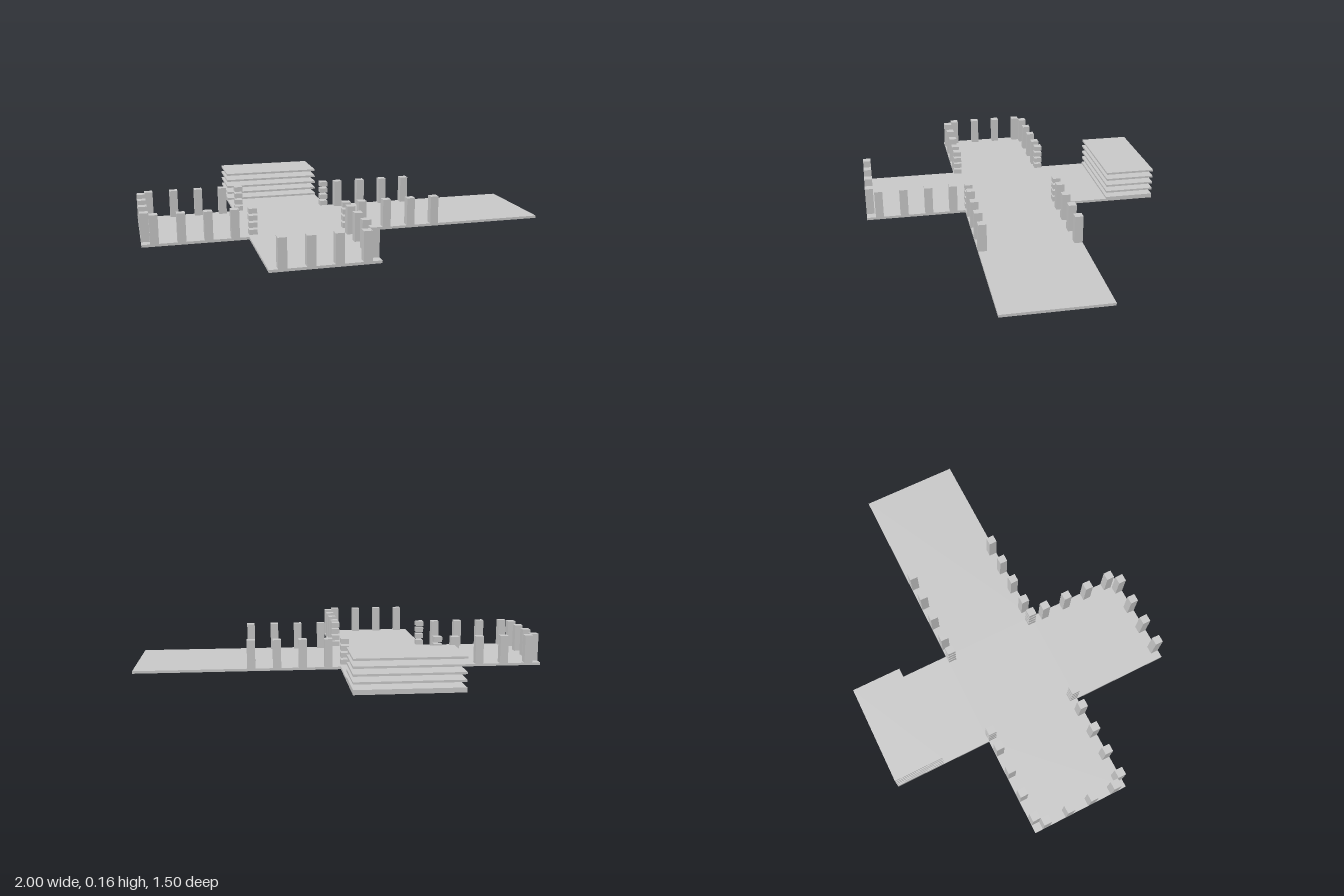
import * as THREE from 'three';

const FLOOR = 0.0125;   // floor plate thickness
const SLAB = 0.01;      // upper slab thickness
const STEP = 0.0344;    // storey height
const COL = 0.04;       // column width

export function createModel() {
  const model = new THREE.Group();
  const material = new THREE.MeshStandardMaterial({ color: 0xcccccc, flatShading: true });

  const add = (name, geometry, x, y, z) => {
    const mesh = new THREE.Mesh(geometry, material);
    mesh.name = name;
    mesh.position.set(x, y, z);
    model.add(mesh);
  };

  // Cross-shaped floor plate
  const outline = [
    [-1, -0.25], [-0.5, -0.25], [-0.5, -0.75], [0, -0.75], [0, -0.25], [1, -0.25],
    [1, 0.25], [0, 0.25], [0, 0.75], [-0.5, 0.75], [-0.5, 0.25], [-1, 0.25],
  ].map(([x, z]) => new THREE.Vector2(x, -z));
  const floor = new THREE.ExtrudeGeometry(new THREE.Shape(outline), { depth: FLOOR, bevelEnabled: false });
  floor.rotateX(-Math.PI / 2);
  add('floorPlate', floor, 0, 0, 0);

  // Stacked slabs on the rear arm
  const slab = new THREE.BoxGeometry(0.5, SLAB, 0.25);
  for (let i = 0; i < 5; i++) add('storeySlab', slab, -0.25, FLOOR + SLAB / 2 + i * STEP, -0.625);

  // Full-height columns, four per run at equal spacing
  const height = 0.15 - FLOOR;
  const column = new THREE.BoxGeometry(COL, height, COL);
  const run = (x, z, dx, dz) => {
    for (let i = 0; i < 4; i++) add('column', column, x + i * dx, FLOOR + height / 2, z + i * dz);
  };
  for (const z of [-0.23, 0.23]) {
    run(-0.94, z, 0.125, 0);      // right arm sides
    run(0.06, z, 0.125, 0);       // left arm sides
  }
  run(-0.98, -0.19, 0, 0.125);    // right arm end
  run(-0.44, 0.73, 0.125, 0);     // front arm end
  run(-0.02, 0.31, 0, 0.125);     // front arm side

  // Segmented columns at the inner corners, one block per storey
  const blockHeight = STEP - SLAB;
  const block = new THREE.BoxGeometry(COL, blockHeight, COL);
  for (const x of [-0.48, -0.02]) {
    for (const z of [-0.23, 0.23]) {
      for (let i = 0; i < 4; i++) {
        add('cornerBlock', block, x, FLOOR + SLAB + blockHeight / 2 + i * STEP, z);
      }
    }
  }
  return model;
}
